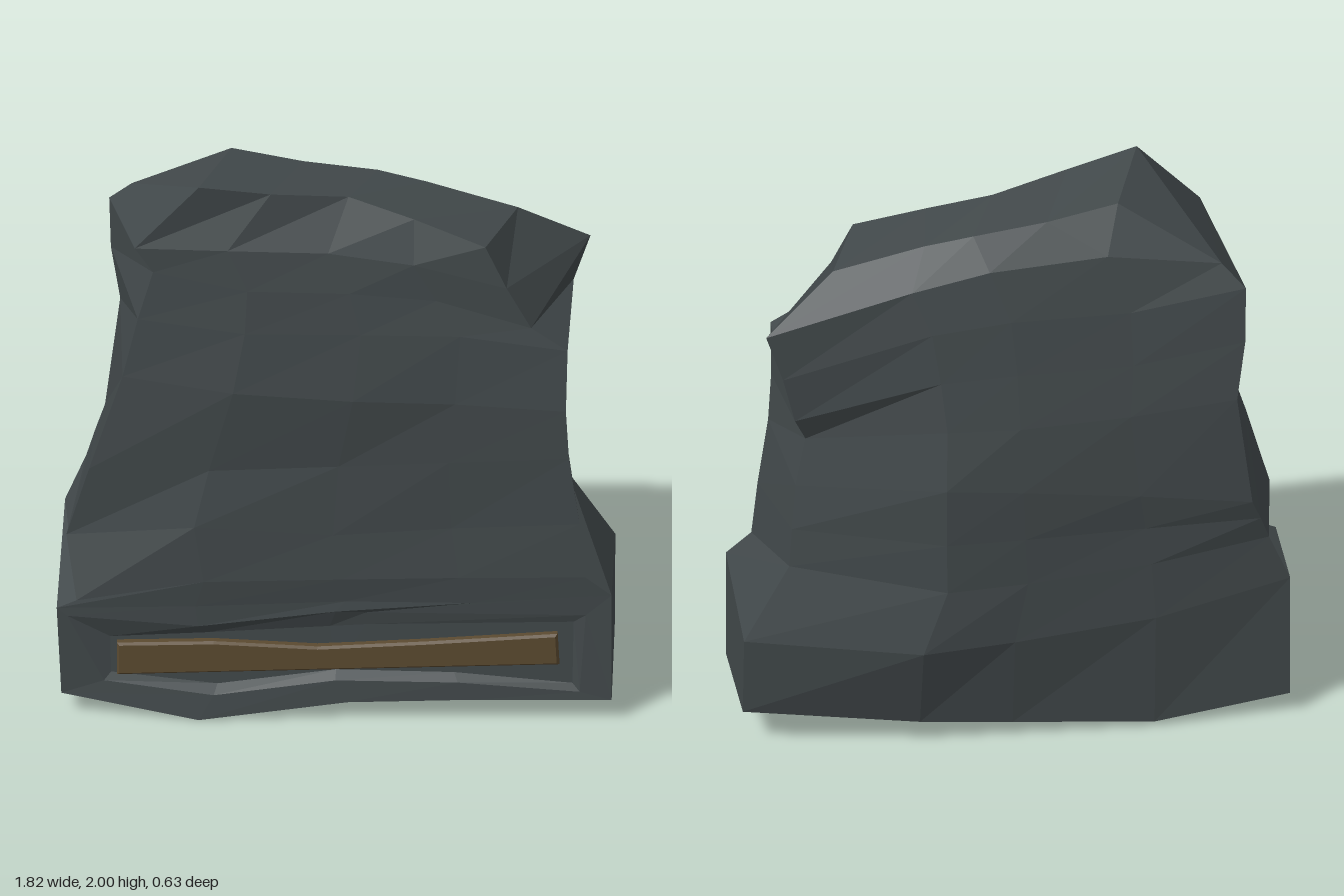
import * as THREE from 'three';

const stone = new THREE.MeshStandardMaterial({ color: 0x42494b, flatShading: true });
const wood = new THREE.MeshStandardMaterial({ color: 0x5b4a30, flatShading: true });

// Surface through rows of points: each row runs left to right, rows go upwards
function skin(rows, name) {
  const n = rows[0].length, index = [];
  for (let r = 0; r < rows.length - 1; r++) {
    for (let c = 0; c < n - 1; c++) {
      const a = r * n + c, b = a + n;
      index.push(a, a + 1, b + 1, a, b + 1, b);
    }
  }
  const geometry = new THREE.BufferGeometry();
  geometry.setAttribute('position', new THREE.Float32BufferAttribute(rows.flat(2), 3));
  geometry.setIndex(index);
  geometry.computeVertexNormals();
  const mesh = new THREE.Mesh(geometry, stone);
  mesh.name = name;
  return mesh;
}

// Row of five points between two edge points, with the three middle ones pushed in z and y
function row([left, right, dz, dy = [0, 0, 0]], columns) {
  const middle = columns.map((t, i) => {
    const p = left.map((v, k) => v + (right[k] - v) * t);
    return [p[0], p[1] + dy[i], p[2] + dz[i]];
  });
  return [left, ...middle, right];
}

export function createModel() {
  const group = new THREE.Group();
  group.name = 'stoneSlab';

  // Front face: left edge, right edge, bulge
  const front = [
    [[-0.9, 0.08, 0.27], [0.905, 0.08, 0.27], [0.03, 0.02, 0.01], [-0.08, -0.01, 0]],
    [[-0.915, 0.41, 0.28], [0.905, 0.48, 0.27], [0.01, 0, -0.005], [0, 0, -0.02]],
    [[-0.85, 0.44, 0.28], [0.82, 0.55, 0.275], [0.02, 0.01, 0], [0.06, 0.04, 0.02]],
    [[-0.885, 0.65, 0.21], [0.8, 0.75, 0.27], [0.075, 0.04, 0.01], [0.06, 0, 0]],
    [[-0.81, 0.92, 0.24], [0.765, 1, 0.27], [0.03, 0.02, 0.01]],
    [[-0.7, 1.28, 0.25], [0.755, 1.18, 0.27], [0.055, 0.045, 0.01]],
    [[-0.65, 1.5, 0.25], [0.76, 1.4, 0.25], [0.045, 0.03, 0.01], [0, 0.02, 0.03]],
    [[-0.6, 1.68, 0.25], [0.64, 1.48, 0.24], [0.035, 0.02, 0], [0, 0.04, 0.05]],
    [[-0.66, 1.77, 0.25], [0.56, 1.63, 0.24], [0.02, 0, 0], [0.04, 0.06, 0.05]],
    [[-0.45, 2, 0.24], [0.49, 1.78, 0.23], [-0.035, -0.09, -0.05], [0.01, 0.03, 0.02]],
  ].map((r) => row(r, [0.25, 0.52, 0.75]));

  // Back face, with the same number of rows
  const back = [
    [[-0.9, 0.08, -0.2], [0.905, 0.14, -0.16], [-0.03, -0.04, -0.05], [-0.075, -0.05, -0.03]],
    [[-0.9, 0.54, -0.2], [0.905, 0.44, -0.19], [-0.055, -0.085, -0.125], [-0.06, -0.07, -0.05]],
    [[-0.83, 0.71, -0.2], [0.75, 0.7, -0.15], [-0.06, -0.1, -0.125], [-0.04, -0.06, -0.06]],
    [[-0.8, 0.8, -0.22], [0.74, 0.84, -0.14], [-0.045, -0.095, -0.12]],
    [[-0.77, 0.88, -0.24], [0.725, 1, -0.12], [-0.05, -0.1, -0.125], [0.04, 0.07, 0.08]],
    [[-0.72, 1.29, -0.235], [0.69, 1.17, -0.1], [-0.045, -0.09, -0.1], [0, 0.02, 0.04]],
    [[-0.75, 1.5, -0.21], [0.73, 1.27, -0.14], [-0.025, -0.05, -0.05], [0, 0.06, 0.08]],
    [[-0.755, 1.7, -0.19], [0.77, 1.44, -0.145], [-0.01, -0.03, -0.03], [0, 0.07, 0.08]],
    [[-0.68, 1.78, -0.15], [0.825, 1.61, -0.14], [0, -0.01, -0.01], [0.1, 0.12, 0.09]],
    [[-0.35, 1.98, -0.05], [0.59, 1.78, -0.03], [-0.01, -0.02, -0.01], [0, 0.02, 0.02]],
  ].map((r) => row(r, [0.25, 0.51, 0.68]));

  const last = front.length - 1;
  group.add(
    skin(front.slice(1), 'frontFace'),
    skin(back.map((r) => [...r].reverse()), 'backFace'),
    skin(front.map((r, i) => [r[4], back[i][4]]), 'leftSide'),
    skin(front.map((r, i) => [back[i][0], r[0]]), 'rightSide'),
    skin([front[last], back[last]], 'top'),
    skin([back[0], front[0]], 'underside'),
  );

  // Sunken panel in the foot: outer edge, rim and floor loops; the ledge fades out on one half
  const rimLow = [[-0.76, 0.13, 0.27], [-0.4, 0.09, 0.29], [0, 0.15, 0.285], [0.4, 0.145, 0.28], [0.8, 0.11, 0.27]];
  const rimHigh = [[-0.88, 0.38, 0.28], [-0.45, 0.35, 0.285], [0, 0.41, 0.28], [0.1, 0.4, 0.265], [0.82, 0.4, 0.265]];
  const floorHigh = [[-0.74, 0.29, 0.255], [-0.42, 0.31, 0.255], [-0.02, 0.34, 0.255], [0.1, 0.35, 0.257], [0.78, 0.37, 0.257]];
  const floorLow = rimLow.map(([x, y]) => [x * 0.97, y + 0.025, 0.255]);
  const loop = (low, high) => [...low, ...[...high].reverse(), low[0]];
  group.add(
    skin([loop(front[0], front[1]), loop(rimLow, rimHigh), loop(floorLow, floorHigh)], 'panelFrame'),
    skin([floorLow, floorHigh], 'panelFloor'),
  );

  // Wooden strip set into the panel
  const outline = [[-0.71, 0.165], [0, 0.195], [0.725, 0.225], [0.72, 0.325], [0.3, 0.29], [-0.06, 0.265], [-0.4, 0.28], [-0.71, 0.27]];
  const shape = new THREE.Shape(outline.map(([x, y]) => new THREE.Vector2(x, y)));
  const strip = new THREE.Mesh(new THREE.ExtrudeGeometry(shape, {
    depth: 0.05, bevelEnabled: true, bevelThickness: 0.008, bevelSize: 0.008, bevelSegments: 1,
  }), wood);
  strip.position.z = 0.225;
  strip.name = 'woodStrip';
  group.add(strip);

  return group;
}
